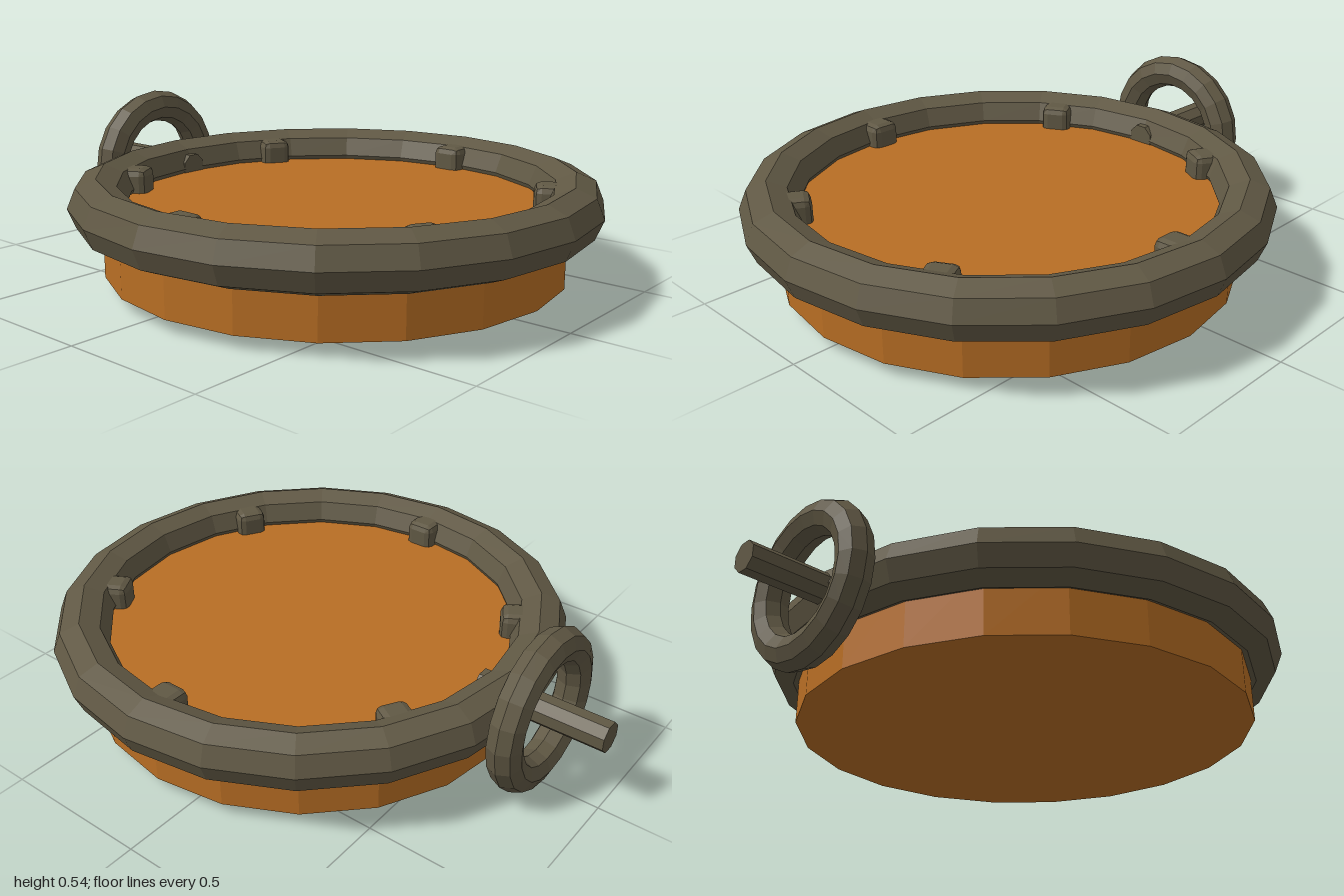
import * as THREE from 'three';
import { RoundedBoxGeometry } from 'three/addons/geometries/RoundedBoxGeometry.js';

export function createModel() {
  const model = new THREE.Group();
  model.name = 'valveHatch';
  const metal = new THREE.MeshStandardMaterial({ color: 0x605844, flatShading: true });
  metal.name = 'dark metal';
  const copper = new THREE.MeshStandardMaterial({ color: 0xb86e24, flatShading: true });
  copper.name = 'orange copper';

  const midY = 0.272, centreZ = 0.125;
  const add = (name, geometry, material, x, y, z) => {
    const mesh = new THREE.Mesh(geometry, material);
    mesh.name = name;
    mesh.position.set(x, y, z);
    model.add(mesh);
    return mesh;
  };

  // Shallow drum and the heavy rim around it
  add('drum', new THREE.CylinderGeometry(0.765, 0.765, 0.218, 20), copper, 0, 0.151, centreZ);
  add('rim', new THREE.TorusGeometry(0.783, 0.092, 8, 20).rotateX(Math.PI / 2), metal, 0, midY + 0.002, centreZ);

  // Six chamfered lugs on the inside of the rim
  for (let i = 0; i < 6; i++) {
    const a = (i * Math.PI) / 3;
    const lug = add('lug', new RoundedBoxGeometry(0.11, 0.14, 0.106, 1, 0.024), metal,
      Math.cos(a) * 0.7, midY, centreZ + Math.sin(a) * 0.7);
    lug.rotation.y = -a;
  }

  // Upright wheel at the back, with its axle running through the rim
  add('wheel', new THREE.TorusGeometry(0.2145, 0.0575, 8, 20), metal, 0, midY, -0.772);
  add('axle', new THREE.CylinderGeometry(0.05, 0.05, 0.44, 8).rotateY(Math.PI / 8).rotateX(Math.PI / 2),
    metal, 0, midY + 0.004, -0.78);

  return model;
}
